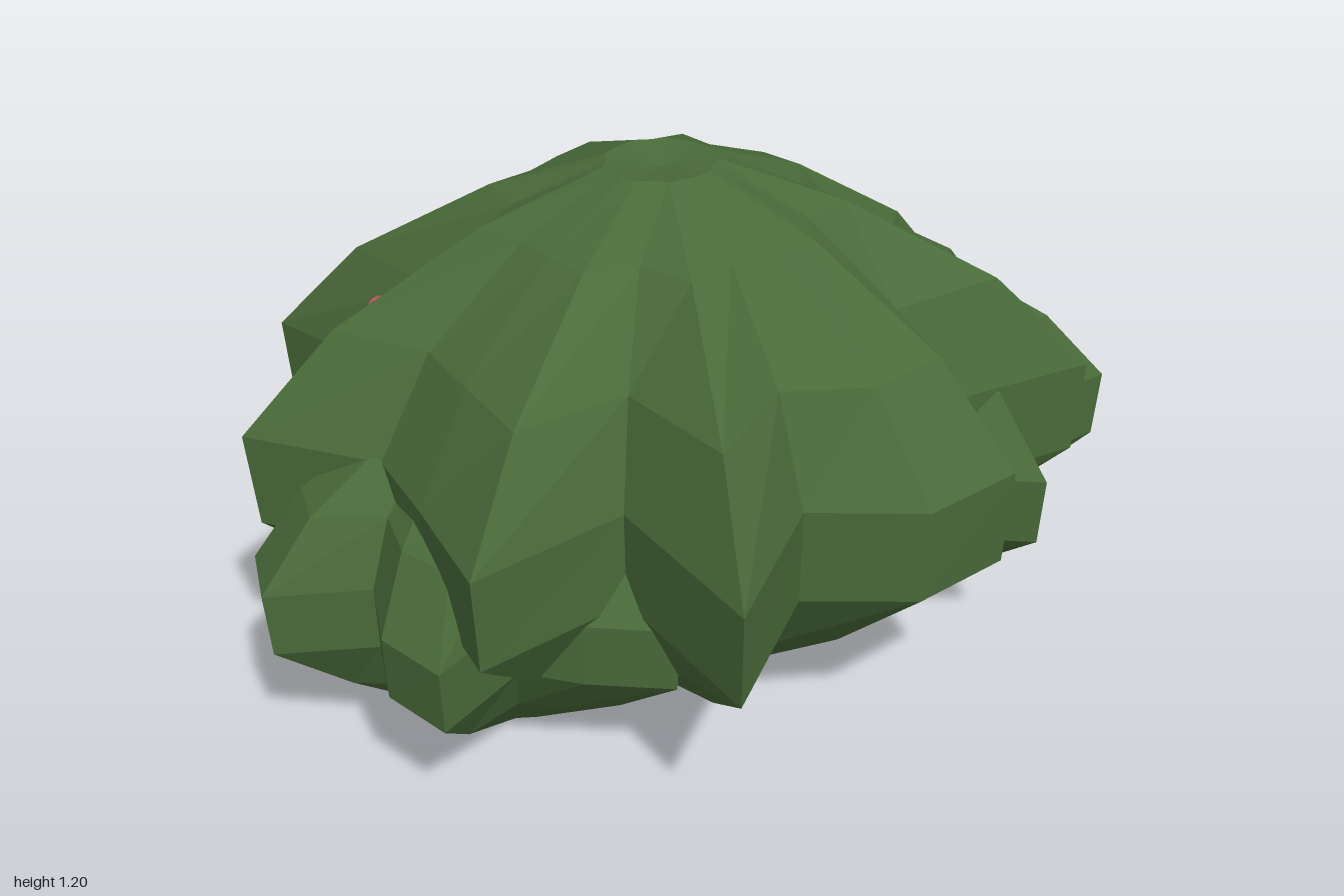
import * as THREE from 'three';

// Ring profile from base to crown: [share of the widest radius, share of the height]
const PROFILE = [
  [0, 0], [0.37, 0], [0.71, 0.18], [0.985, 0.37], [1, 0.56],
  [0.8, 0.75], [0.46, 0.915], [0.155, 1], [0, 0.985],
];
const SIDES = 22;

// Squat ribbed body: the radius follows a cosine with one wave for each rib,
// and the ribs fade out towards the base and the crown
function ribbedBody(radius, height, ribs) {
  const positions = [];
  const index = [];
  for (const [r, y] of PROFILE) {
    for (let j = 0; j < SIDES; j++) {
      const angle = (j / SIDES) * Math.PI * 2;
      const rr = radius * r * (1 + 0.24 * r * Math.cos(ribs * angle));
      positions.push(rr * Math.cos(angle), y * height, rr * Math.sin(angle));
    }
  }
  const last = PROFILE.length - 2;
  for (let i = 0; i <= last; i++) {
    for (let j = 0; j < SIDES; j++) {
      const k = (j + 1) % SIDES;
      const a = i * SIDES + j, b = i * SIDES + k;
      const c = b + SIDES, d = a + SIDES;
      if (i === 0) index.push(a, d, c);
      else if (i === last) index.push(a, d, b);
      else index.push(a, d, b, b, d, c);
    }
  }
  const indexed = new THREE.BufferGeometry();
  indexed.setAttribute('position', new THREE.Float32BufferAttribute(positions, 3));
  indexed.setIndex(index);
  const geometry = indexed.toNonIndexed();
  geometry.computeVertexNormals();
  return geometry;
}

export function createModel() {
  const model = new THREE.Group();
  model.name = 'cactusCluster';

  const green = new THREE.MeshStandardMaterial({ color: 0x4a6b3a, flatShading: true });
  green.name = 'cactus green';
  const pink = new THREE.MeshStandardMaterial({ color: 0xb85a5a, flatShading: true });
  pink.name = 'bud pink';

  function add(name, geometry, material, x, y, z) {
    const mesh = new THREE.Mesh(geometry, material);
    mesh.name = name;
    mesh.position.set(x, y, z);
    model.add(mesh);
  }

  // Large body with two smaller offshoots
  add('mainBody', ribbedBody(0.783, 1.17, 9), green, -0.09, 0.035, -0.01);
  add('backOffshoot', ribbedBody(0.53, 0.87, 7), green, 0.335, 0.025, -0.28);
  add('frontOffshoot', ribbedBody(0.49, 0.8, 7), green, -0.46, 0, 0.2);

  // Small buds on the shoulder of the large body
  const bud = new THREE.IcosahedronGeometry(0.033, 1);
  const buds = [[0.475, 0.862, -0.24], [-0.7, 0.895, 0.07], [-0.225, 0.71, -0.61]];
  for (const [x, y, z] of buds) add('bud', bud, pink, x, y, z);

  return model;
}
